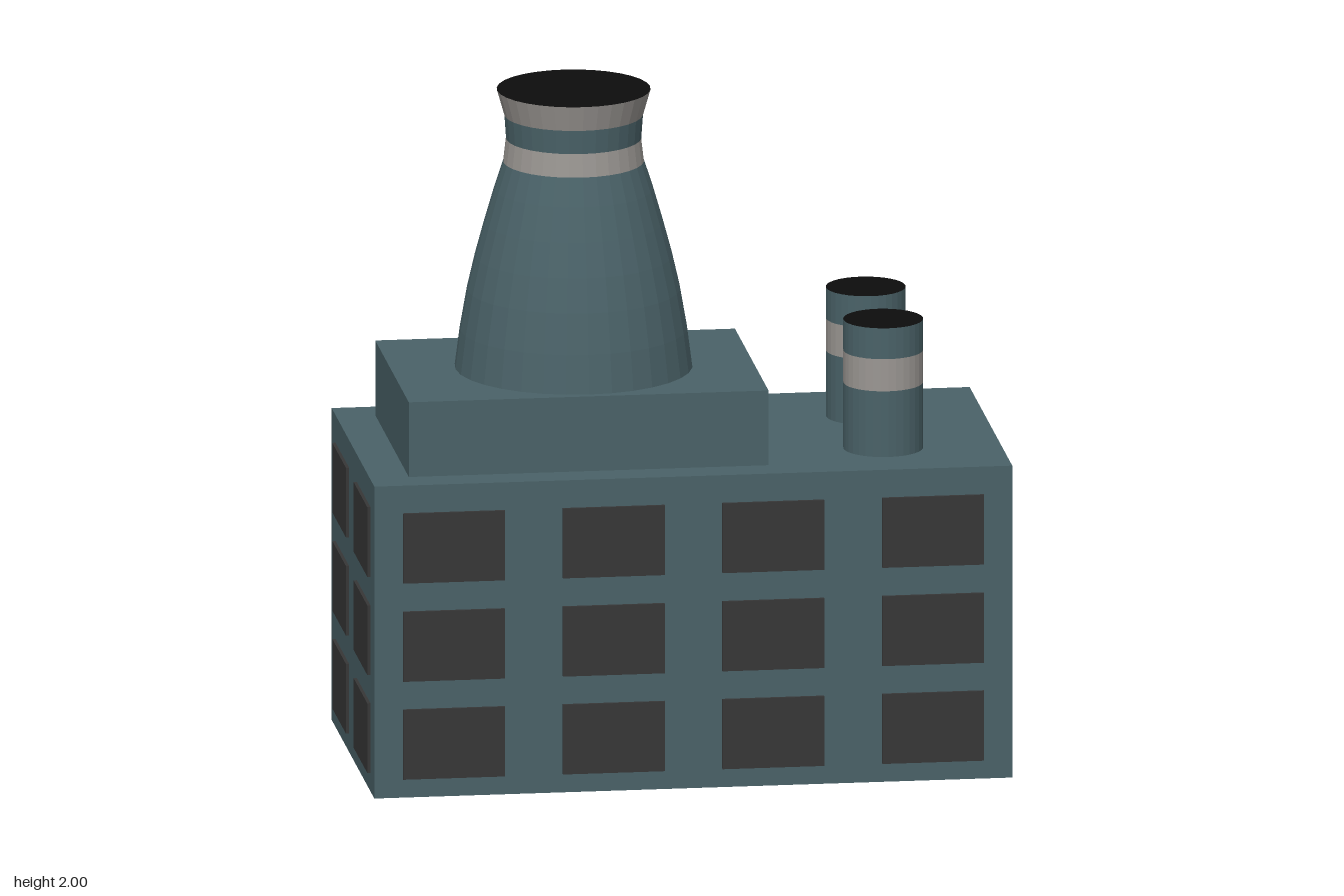
import * as THREE from 'three';

const mat = (name, color, extra = {}) => {
  const m = new THREE.MeshStandardMaterial({ color, ...extra });
  m.name = name;
  return m;
};

export function createModel() {
  const wall = mat('teal wall', 0x4a6268);
  const towerTeal = mat('teal tower', 0x4a6268, { flatShading: true });
  const stripe = mat('light grey stripe', 0x9b9793, { flatShading: true });
  const glass = mat('dark window', 0x373737);
  const soot = mat('black opening', 0x0d0d0d);

  const model = new THREE.Group();
  model.name = 'factory';
  const plant = new THREE.Group();
  plant.name = 'plant';
  plant.position.z = 0.004;
  model.add(plant);

  const add = (name, geometry, material, x, y, z, parent = plant) => {
    const mesh = new THREE.Mesh(geometry, material);
    mesh.name = name;
    mesh.position.set(x, y, z);
    parent.add(mesh);
    return mesh;
  };

  // Main hall and the raised plinth under the tower
  const W = 0.94, D = 0.47, H = 0.94;
  add('hall', new THREE.BoxGeometry(W * 2, H, D * 2), wall, 0, H / 2, 0);
  add('towerPlinth', new THREE.BoxGeometry(1.06, 0.225, 0.74), wall, -0.295, H + 0.1125, 0);

  // Windows: three rows on all four sides, leaving room for the door at the back
  const T = 0.0095;
  const longPane = new THREE.BoxGeometry(0.3, 0.21, T);
  const sidePane = new THREE.BoxGeometry(T, 0.21, 0.3);
  [0.161, 0.456, 0.752].forEach((y, row) => {
    for (const x of [-0.706, -0.235, 0.235, 0.706]) {
      add('frontWindow', longPane, glass, x, y, D + T / 2);
      if (x !== 0.235 || row === 2) add('backWindow', longPane, glass, x, y, -D - T / 2);
    }
    for (const z of [-0.235, 0.235]) {
      add('leftWindow', sidePane, glass, W + T / 2, y, z);
      add('rightWindow', sidePane, glass, -W - T / 2, y, z);
    }
  });

  // Back door
  add('door', new THREE.BoxGeometry(0.405, 0.43, 0.019), glass, 0.235, 0.215, -D - 0.0095);

  // Stacks: each section is [material, list of (radius, height) points]
  const buildStack = (name, x, z, sections) => {
    const stack = new THREE.Group();
    stack.name = name;
    stack.position.set(x, 0, z);
    plant.add(stack);
    for (const [material, points] of sections) {
      const profile = points.map(([r, y]) => new THREE.Vector2(r, y));
      const part = material === stripe ? 'Stripe' : 'Shell';
      add(name + part, new THREE.LatheGeometry(profile, 32), material, 0, 0, 0, stack);
    }
    const [r, top] = sections.at(-1)[1].at(-1);
    add(name + 'Opening', new THREE.CircleGeometry(r, 32).rotateX(-Math.PI / 2), soot, 0, top, 0, stack);
  };

  // Cooling tower with a flared rim
  buildStack('coolingTower', -0.29, 0, [
    [towerTeal, [[0.348, 1.165], [0.333, 1.28], [0.312, 1.4], [0.289, 1.5], [0.262, 1.6], [0.233, 1.7], [0.206, 1.783]]],
    [stripe, [[0.206, 1.783], [0.198, 1.852]]],
    [towerTeal, [[0.198, 1.852], [0.203, 1.923]]],
    [stripe, [[0.203, 1.923], [0.225, 2]]],
  ]);

  // Two small chimneys
  const r = 0.117;
  for (const z of [-0.192, 0.192]) {
    buildStack('chimney', 0.595, z + 0.012, [
      [towerTeal, [[r, H], [r, 1.138]]],
      [stripe, [[r, 1.138], [r, 1.235]]],
      [towerTeal, [[r, 1.235], [r, 1.328]]],
    ]);
  }

  return model;
}
